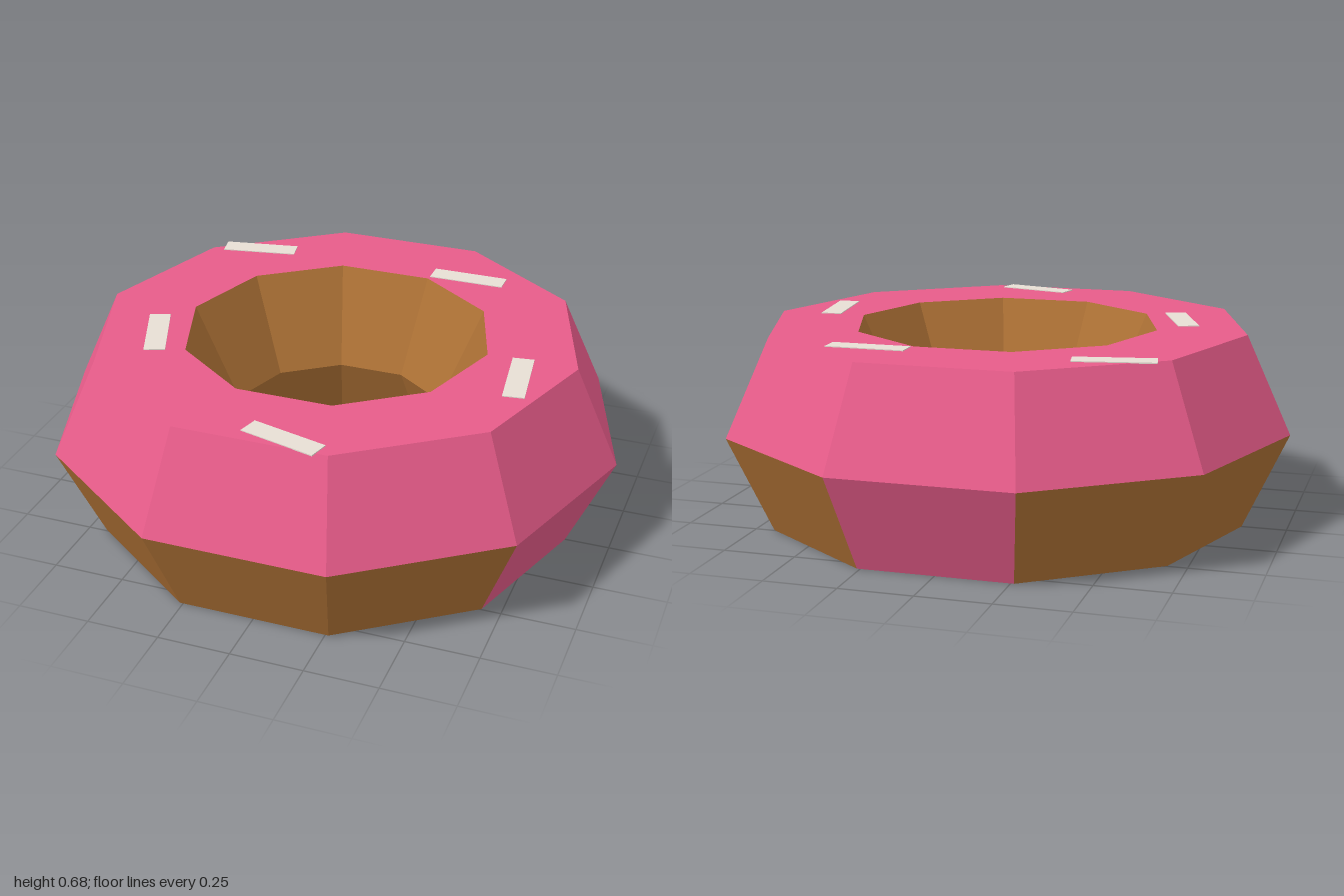
import * as THREE from 'three';

const SIDES = 10;
const STEP = (Math.PI * 2) / SIDES;

// Six-sided ring section: [radius, height]
const OUTER_MID = [1, 0.336];
const OUTER_TOP = [0.845, 0.672];
const INNER_TOP = [0.535, 0.672];
const INNER_MID = [0.38, 0.336];
const INNER_BOTTOM = [0.535, 0];
const OUTER_BOTTOM = [0.845, 0];

const material = (name, color) => {
  const m = new THREE.MeshStandardMaterial({ color, flatShading: true });
  m.name = name;
  return m;
};

// Faceted band swept around y from a few section points
function band(name, points, mat, start = Math.PI / 2, sides = SIDES) {
  const profile = points.map(([r, y]) => new THREE.Vector2(r, y));
  const geometry = new THREE.LatheGeometry(profile, sides, start, sides * STEP).toNonIndexed();
  geometry.computeVertexNormals();
  const mesh = new THREE.Mesh(geometry, mat);
  mesh.name = name;
  return mesh;
}

export function createModel() {
  const dough = material('dough brown', 0xad7135);
  const icing = material('icing pink', 0xe85c8a);
  const sugar = material('sprinkle cream', 0xf5ebe0);

  const model = new THREE.Group();
  model.name = 'doughnut';

  // Icing over the top, dough through the hole and underneath
  model.add(band('icing', [OUTER_MID, OUTER_TOP, INNER_TOP], icing));
  model.add(band('dough', [INNER_TOP, INNER_MID, INNER_BOTTOM, OUTER_BOTTOM], dough));

  // Lower outer panels: three of them are icing drips
  const drips = [0, 4, 7];
  for (let k = 0; k < SIDES; k++) {
    const drip = drips.includes(k);
    const start = Math.PI / 2 - (k + 1) * STEP;
    model.add(band(drip ? 'icingDrip' : 'doughSide', [OUTER_BOTTOM, OUTER_MID], drip ? icing : dough, start, 1));
  }

  // Flat sprinkles: x, z, turn
  const sprinkles = [
    [-0.512, -0.55, 0.18],
    [0.305, -0.56, 0],
    [0.675, 0.127, -1.44],
    [-0.578, 0.227, -1.207],
    [0.095, 0.753, -0.254],
  ];
  const sprinkleShape = new THREE.BoxGeometry(0.27, 0.004, 0.073);
  for (const [x, z, turn] of sprinkles) {
    const sprinkle = new THREE.Mesh(sprinkleShape, sugar);
    sprinkle.name = 'sprinkle';
    sprinkle.position.set(x, 0.673, z);
    sprinkle.rotation.y = turn;
    model.add(sprinkle);
  }
  return model;
}
